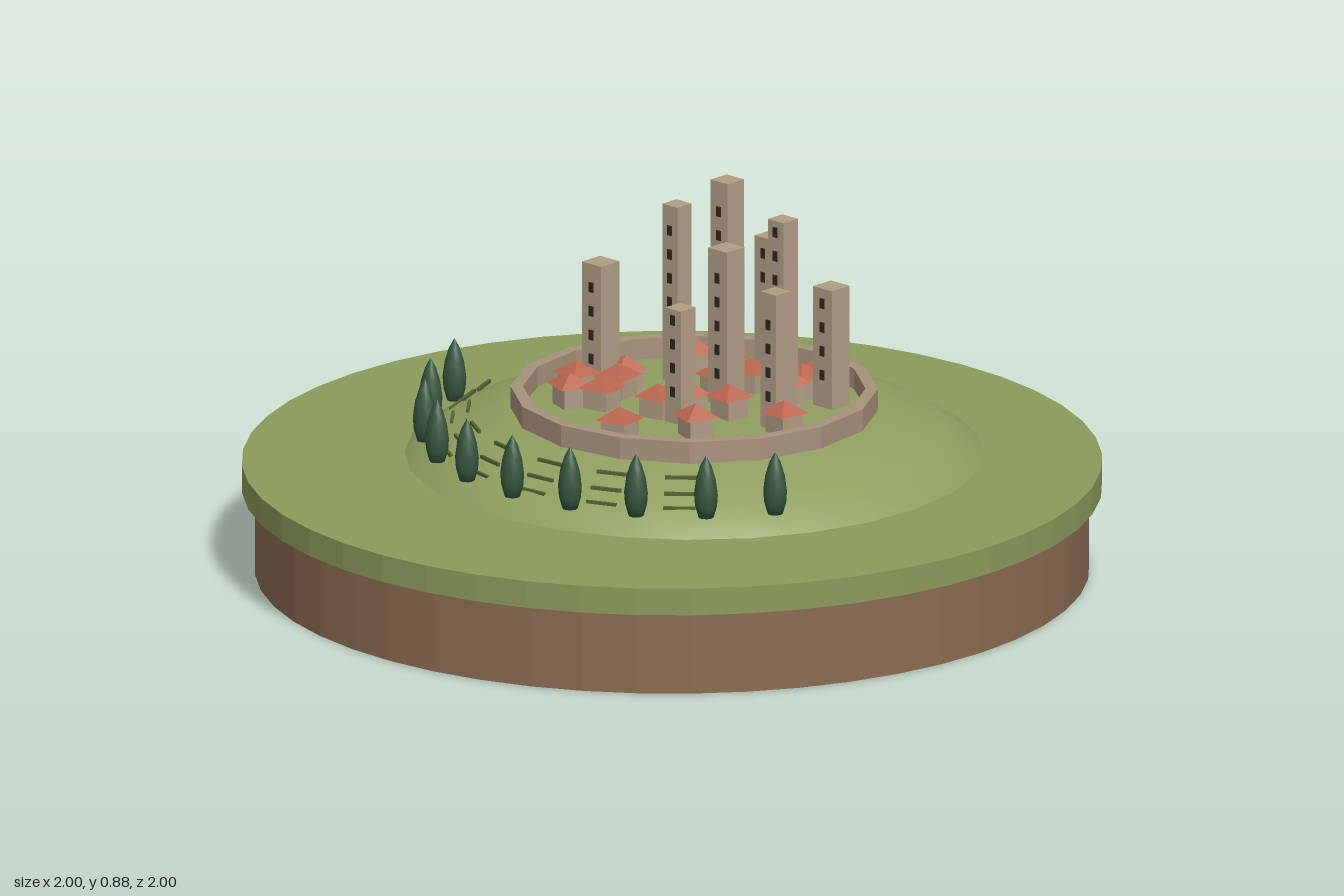
import * as THREE from 'three';

const material = (name, color, flatShading = true) => {
  const m = new THREE.MeshStandardMaterial({ color, flatShading });
  m.name = name;
  return m;
};

export function createModel() {
  const root = new THREE.Group();
  root.name = 'walledHillTown';
  const mats = {
    soil: material('soil brown', 0x8b6b52),
    grass: material('grass green', 0x8a9a5b),
    hill: material('hill green', 0x8f9f5f, false),
    wall: material('wall stone', 0xa8927c),
    tower: material('tower stone', 0xb09d84),
    roof: material('terracotta', 0xb8654e),
    window: material('window dark', 0x2e2620),
    tree: material('cypress green', 0x36573f, false),
    vine: material('vine green', 0x566336),
  };
  const add = (parent, name, geometry, mat, x = 0, y = 0, z = 0, ry = 0) => {
    const mesh = new THREE.Mesh(geometry, mat);
    mesh.name = name;
    mesh.position.set(x, y, z);
    mesh.rotation.y = ry;
    parent.add(mesh);
    return mesh;
  };
  const group = (name, x = 0, y = 0, z = 0, ry = 0, parent = root) => {
    const g = new THREE.Group();
    g.name = name;
    g.position.set(x, y, z);
    g.rotation.y = ry;
    parent.add(g);
    return g;
  };
  const profile = (points) => points.map(([r, y]) => new THREE.Vector2(r, y));

  // Round base: soil below, turf on top
  add(root, 'soilBase', new THREE.CylinderGeometry(0.97, 0.97, 0.2, 48), mats.soil, 0, 0.1, 0);
  add(root, 'grassDisc', new THREE.CylinderGeometry(1, 1, 0.065, 48), mats.grass, 0, 0.2325, 0);

  // Hill with a nearly flat top
  const cx = 0.022, cz = -0.07, ground = 0.382;
  add(root, 'hill', new THREE.LatheGeometry(profile([
    [0.69, 0.225], [0.678, 0.262], [0.585, 0.323], [0.45, 0.37], [0.36, 0.38], [0.2, 0.383], [0, 0.384],
  ]), 28), mats.hill, cx, 0, cz);

  // Sixteen-sided town wall
  const ring = (r) => Array.from({ length: 16 }, (_, i) => {
    const a = i * Math.PI / 8 + 0.06;
    return new THREE.Vector2(r * Math.cos(a), r * Math.sin(a));
  });
  const wallShape = new THREE.Shape(ring(0.427));
  wallShape.holes.push(new THREE.Path(ring(0.398)));
  const wallGeo = new THREE.ExtrudeGeometry(wallShape, { depth: 0.06, bevelEnabled: false });
  wallGeo.rotateX(-Math.PI / 2);
  add(root, 'townWall', wallGeo, mats.wall, cx, 0.365, cz);

  // Towers: x, z, top height, width
  const towers = [
    [-0.232, -0.088, 0.69, 0.062], [-0.105, -0.228, 0.81, 0.048], [0.015, -0.25, 0.88, 0.055],
    [0.08, -0.12, 0.76, 0.06], [0.052, 0.058, 0.66, 0.05], [0.205, -0.165, 0.835, 0.05],
    [0.265, -0.012, 0.71, 0.05], [0.302, -0.222, 0.67, 0.06], [0.085, -0.338, 0.73, 0.055],
  ];
  const windowGeo = new THREE.BoxGeometry(0.013, 0.024, 0.004);
  const townTowers = group('towers');
  towers.forEach(([x, z, top, w]) => {
    const base = 0.37, h = top - base;
    const tower = group('tower', x, base, z, -0.28, townTowers);
    add(tower, 'towerShaft', new THREE.BoxGeometry(w, h, w), mats.tower, 0, h / 2, 0);
    for (let y = 0.09; y < h - 0.02; y += 0.058) {
      add(tower, 'towerWindow', windowGeo, mats.window, 0, y, w / 2 + 0.001);
    }
  });

  // Houses with pyramid roofs
  const houses = [
    [-0.045, -0.345], [-0.1, -0.31], [0.225, -0.33], [0.212, -0.25], [0.205, -0.195], [0.085, -0.235],
    [0.035, -0.17], [-0.182, -0.118], [-0.17, -0.055], [-0.265, -0.03], [-0.235, 0.06], [-0.16, 0.045],
    [0.135, -0.03], [0.04, -0.01], [-0.015, 0.042], [0.305, 0.022], [0.135, 0.14], [-0.01, 0.245],
  ];
  const bodyGeo = new THREE.BoxGeometry(0.066, 0.06, 0.06);
  const roofGeo = new THREE.ConeGeometry(0.058, 0.03, 4);
  roofGeo.rotateY(Math.PI / 4);
  const townHouses = group('houses');
  houses.forEach(([x, z], i) => {
    const house = group('house', x, ground, z, -0.4 - 0.3 * Math.sin(i * 2.1), townHouses);
    add(house, 'houseBody', bodyGeo, mats.tower, 0, 0.02, 0);
    add(house, 'houseRoof', roofGeo, mats.roof, 0, 0.064, 0);
  });

  // Cypress trees on an arc at the foot of the hill
  const treeGeo = new THREE.LatheGeometry(profile([
    [0, 0], [0.018, 0.002], [0.026, 0.03], [0.028, 0.058], [0.023, 0.095], [0.013, 0.128], [0, 0.152],
  ]), 10);
  const trees = group('cypressTrees');
  for (let i = 0; i < 10; i++) {
    const a = Math.PI - i * Math.PI / 12;
    add(trees, 'cypress', treeGeo, mats.tree, 0.02 + 0.625 * Math.cos(a), 0.303, -0.07 + 0.625 * Math.sin(a));
  }

  // Vine rows: three tangent bars stepping down the slope
  const vineGeo = new THREE.BoxGeometry(0.075, 0.008, 0.007);
  const vines = group('vineRows');
  for (let i = 0; i < 7; i++) {
    const a = (66 + i * 18) * Math.PI / 180;
    [[0.525, 0.37], [0.563, 0.342], [0.593, 0.316]].forEach(([r, y]) => {
      add(vines, 'vineRow', vineGeo, mats.vine, cx + r * Math.cos(a), y, cz + r * Math.sin(a), Math.PI / 2 - a);
    });
  }
  return root;
}
